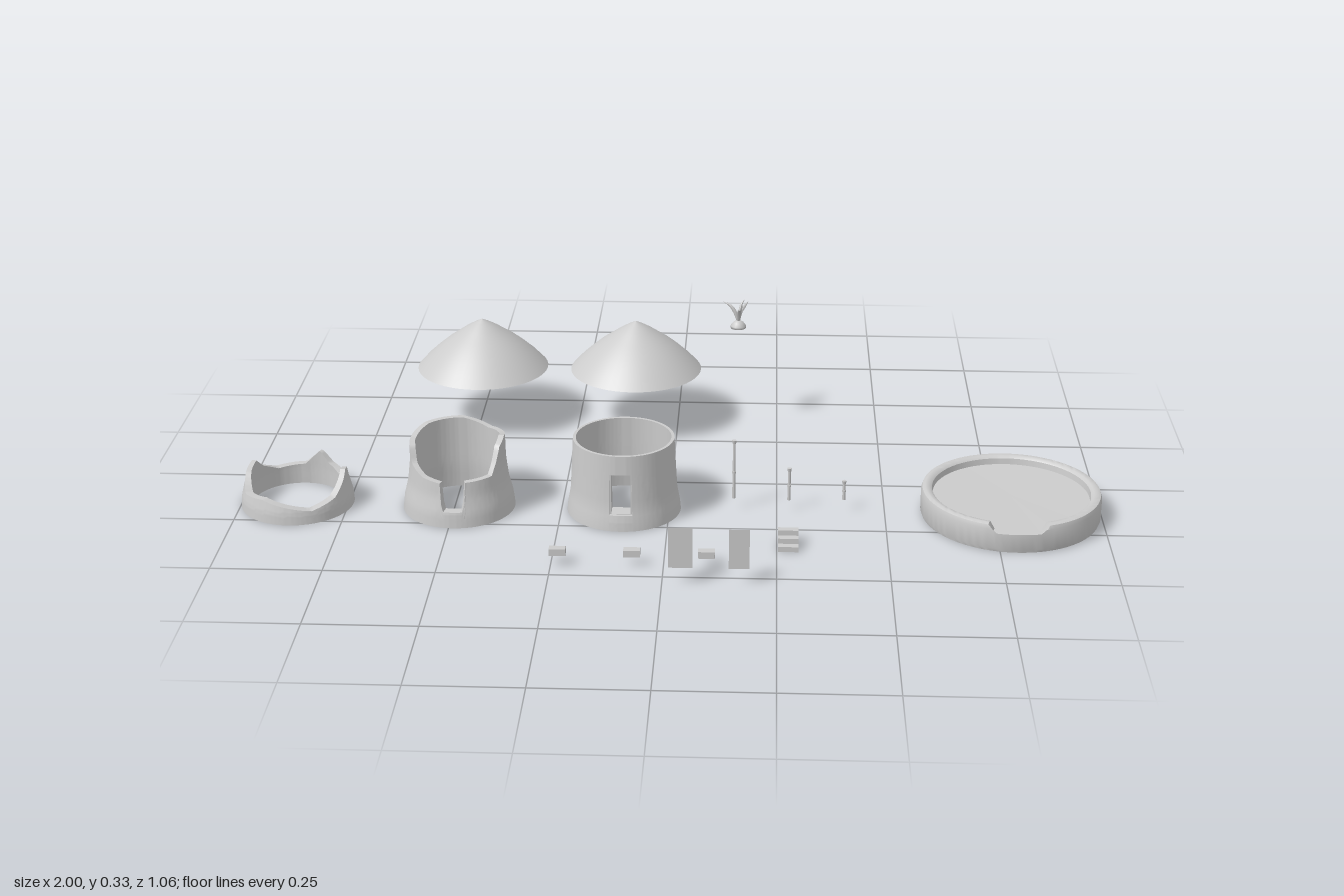
import * as THREE from 'three';
import { toCreasedNormals } from 'three/addons/utils/BufferGeometryUtils.js';

const grey = new THREE.MeshStandardMaterial({ color: 0xcccccc, side: THREE.DoubleSide });
const { lerp, degToRad } = THREE.MathUtils;

function add(parent, name, geometry, x = 0, y = 0, z = 0) {
  const mesh = new THREE.Mesh(geometry, grey);
  mesh.name = name;
  mesh.position.set(x, y, z);
  parent.add(mesh);
  return mesh;
}

function group(parent, name, x, z) {
  const g = new THREE.Group();
  g.name = name;
  g.position.set(x, 0, z);
  parent.add(g);
  return g;
}

// Piecewise linear lookup in a list of [input, output] pairs
function sample(table, t) {
  for (let i = 1; i < table.length; i++) {
    const [a, va] = table[i - 1], [b, vb] = table[i];
    if (t <= b) return lerp(va, vb, Math.max(0, (t - a) / (b - a)));
  }
  return table[table.length - 1][1];
}

// Curved wall block between two angles (0 = front, 90 = +x)
function wallSector(from, to, low, high, outer, inner) {
  const steps = Math.max(4, Math.round((to - from) / 2.5)), rows = 10, loop = rows * 2 + 2;
  const pos = [], index = [];
  for (let i = 0; i <= steps; i++) {
    const deg = lerp(from, to, i / steps), a = degToRad(deg);
    for (let j = 0; j < loop; j++) {
      const isOuter = j <= rows;
      const y = lerp(low, high(deg), isOuter ? j / rows : (loop - 1 - j) / rows);
      const r = sample(isOuter ? outer : inner, y);
      pos.push(r * Math.sin(a), y, r * Math.cos(a));
      if (i < steps) {
        const k = (j + 1) % loop, p = i * loop, q = p + loop;
        index.push(p + j, q + j, q + k, p + j, q + k, p + k);
      }
    }
  }
  // End faces of open blocks
  if (to - from < 360) {
    const e = steps * loop;
    for (let j = 0; j < rows; j++) {
      const m = loop - 1 - j;
      index.push(j, j + 1, m - 1, j, m - 1, m);
      index.push(e + j, e + m - 1, e + j + 1, e + j, e + m, e + m - 1);
    }
  }
  const geo = new THREE.BufferGeometry();
  geo.setAttribute('position', new THREE.Float32BufferAttribute(pos, 3));
  geo.setIndex(index);
  return toCreasedNormals(geo, 0.6);
}

function lathe(points, segments) {
  return new THREE.LatheGeometry(points.map(p => new THREE.Vector2(...p)), segments);
}

// Tapered leaf along a bent path
function leaf(points) {
  const curve = new THREE.CatmullRomCurve3(points.map(p => new THREE.Vector3(...p)));
  const n = 12, sides = 6;
  const geo = new THREE.TubeGeometry(curve, n, 0.005, sides);
  const p = geo.attributes.position, v = new THREE.Vector3();
  for (let i = 0; i < p.count; i++) {
    const t = Math.floor(i / (sides + 1)) / n, c = curve.getPointAt(t);
    v.fromBufferAttribute(p, i).sub(c).multiplyScalar(0.05 + 0.95 * Math.sin(Math.PI * (0.2 + 0.8 * t)));
    p.setXYZ(i, c.x + v.x, c.y + v.y, c.z + v.z);
  }
  geo.computeVertexNormals();
  return geo;
}

export function createModel() {
  const model = new THREE.Group();
  model.name = 'hutKit';

  // Low ruined wall with a jagged top
  const ruin = group(model, 'lowRuin', -0.87, 0.145);
  const ruinTop = [[0, 0.04], [25, 0.03], [55, 0.045], [75, 0.07], [88, 0.088], [104, 0.08], [125, 0.045],
    [145, 0.06], [159, 0.088], [180, 0.05], [215, 0.045], [238, 0.065], [253, 0.09], [275, 0.078],
    [298, 0.045], [330, 0.052], [360, 0.04]];
  add(ruin, 'lowRuinWall', wallSector(0, 360, 0, d => sample(ruinTop, d),
    [[0, 0.131], [0.025, 0.129], [0.06, 0.12], [0.09, 0.115]],
    [[0, 0.106], [0.04, 0.106], [0.09, 0.104]]));

  // Tall broken wall, its front fallen away down to the doorway
  const broken = group(model, 'brokenHut', -0.49, 0.145);
  const brokenTop = [[-180, 0.18], [-130, 0.178], [-95, 0.165], [-76, 0.165], [-64, 0.125], [-40, 0.108],
    [-14, 0.102], [-12, 0.037], [12, 0.037], [14, 0.105], [50, 0.107], [58, 0.13], [68, 0.168],
    [85, 0.182], [110, 0.172], [140, 0.165], [180, 0.18]];
  add(broken, 'brokenWall', wallSector(-180, 180, 0, d => sample(brokenTop, d),
    [[0, 0.13], [0.03, 0.127], [0.07, 0.117], [0.12, 0.111], [0.18, 0.11]],
    [[0, 0.106], [0.06, 0.1], [0.18, 0.097]]));

  // Complete wall with a doorway
  const hut = group(model, 'hut', -0.105, 0.145);
  const outer = [[0, 0.132], [0.02, 0.13], [0.05, 0.124], [0.1, 0.121], [0.18, 0.117]];
  const inner = [[0, 0.122], [0.05, 0.114], [0.1, 0.112], [0.18, 0.11]];
  const half = 12;
  add(hut, 'hutWall', wallSector(half, 360 - half, 0, () => 0.18, outer, inner));
  add(hut, 'wallBelowDoor', wallSector(-half, half, 0, () => 0.037, outer, inner));
  add(hut, 'wallAboveDoor', wallSector(-half, half, 0.135, () => 0.18, outer, inner));
  for (const side of [-1, 1])
    add(hut, 'doorJamb', new THREE.BoxGeometry(0.003, 0.098, 0.036), side * 0.0235, 0.086, 0.099);
  add(hut, 'doorSill', new THREE.BoxGeometry(0.047, 0.003, 0.036), 0, 0.0365, 0.099);
  add(hut, 'doorLintel', new THREE.BoxGeometry(0.047, 0.003, 0.036), 0, 0.1355, 0.099);

  // Two thatched roofs
  for (const x of [-0.49, -0.105])
    add(model, 'roof', lathe([[0.163, 0.146], [0.14, 0.171], [0.114, 0.195], [0.09, 0.215], [0.07, 0.229],
      [0.043, 0.248], [0.02, 0.262], [0, 0.272]], 48), x, 0, -0.368);

  // Roof finial: knob with leaves
  const finial = group(model, 'finial', 0.15, -0.366);
  add(finial, 'knob', lathe([[0, 0.258], [0.019, 0.259], [0.019, 0.265], [0.013, 0.273], [0.006, 0.278],
    [0, 0.279]], 16));
  const tips = [[-0.038, 0.323, -0.012], [0.024, 0.312, -0.048], [0.005, 0.323, 0.053], [0.016, 0.33, -0.014]];
  for (const [x, y, z] of tips)
    add(finial, 'leaf', leaf([[0, 0.274, 0], [x * 0.2, 0.297, z * 0.2], [x * 0.55, y - 0.008, z * 0.55], [x, y, z]]));

  // Round raised platform, hollow below, with a gap in the rim at the front
  const base = lathe([[0.204, 0], [0.207, 0.008], [0.207, 0.054], [0.204, 0.063], [0.197, 0.066], [0.188, 0.065],
    [0.182, 0.06], [0.18, 0.046], [0, 0.045]], 128);
  const p = base.attributes.position;
  for (let i = 0; i < p.count; i++)
    if (p.getZ(i) > 0 && Math.abs(p.getX(i)) < 0.06) p.setY(i, Math.min(p.getY(i), 0.045));
  add(model, 'platform', toCreasedNormals(base, 0.7), 0.79, 0, 0.143);

  // Three posts, shorter towards +x, each with a small cap
  for (const [x, low, high] of [[0.15, 0.028, 0.174], [0.278, 0.026, 0.106], [0.405, 0.029, 0.077]]) {
    const post = group(model, 'post', x, 0.143);
    add(post, 'postShaft', new THREE.CylinderGeometry(0.003, 0.004, high - low, 8), 0, (low + high) / 2, 0);
    add(post, 'postCap', new THREE.CylinderGeometry(0.0055, 0.004, 0.008, 8), 0, high - 0.004, 0);
    add(post, 'postKnot', new THREE.CylinderGeometry(0.0045, 0.0045, 0.005, 8), 0, lerp(low, high, 0.45), 0);
  }

  // Steps climbing towards the back
  const steps = group(model, 'steps', 0.276, 0.34);
  for (let i = 0; i < 3; i++)
    add(steps, 'step', new THREE.BoxGeometry(0.046, 0.0123 * (i + 1), 0.017), 0, 0.00615 * (i + 1), 0.017 * (1 - i));

  // Small bricks
  for (const x of [-0.235, -0.07, 0.095])
    add(model, 'brick', new THREE.BoxGeometry(0.037, 0.016, 0.019), x, 0.032, 0.446);

  // Thin door panels
  add(model, 'doorPanel', new THREE.PlaneGeometry(0.053, 0.096), 0.04, 0.086, 0.53);
  add(model, 'doorPanel', new THREE.PlaneGeometry(0.045, 0.094), 0.168, 0.085, 0.53);

  return model;
}
